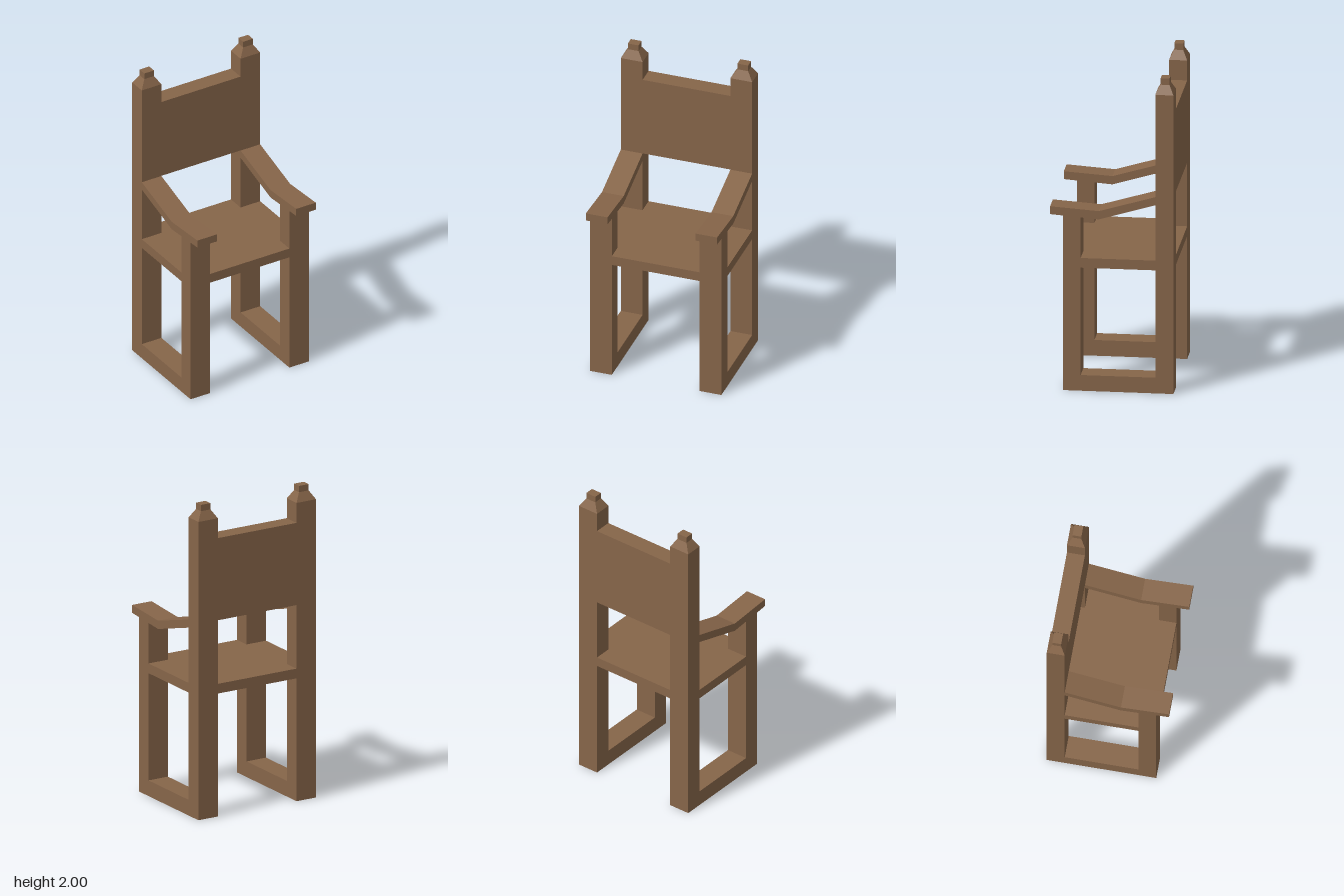
import * as THREE from 'three';

export function createModel() {
  const chair = new THREE.Group();
  chair.name = 'armchair';
  const wood = new THREE.MeshStandardMaterial({ color: 0x866549, flatShading: true });
  wood.name = 'brown wood';

  // Shared limits of the frame
  const inner = 0.283, outer = 0.423;
  const back = -0.378, postFront = -0.267, legBack = 0.19, legFront = 0.298;
  const width = outer - inner, depth = postFront - back;
  const midX = (inner + outer) / 2, midZ = (back + postFront) / 2;

  function add(name, geometry, parent) {
    const mesh = new THREE.Mesh(geometry, wood);
    mesh.name = name;
    parent.add(mesh);
    return mesh;
  }

  // Box given by its limits on each axis
  function box(name, x0, x1, y0, y1, z0, z1, parent) {
    const mesh = add(name, new THREE.BoxGeometry(x1 - x0, y1 - y0, z1 - z0), parent);
    mesh.position.set((x0 + x1) / 2, (y0 + y1) / 2, (z0 + z1) / 2);
  }

  // Bent armrest, profile drawn in z and y, extruded across x
  const armShape = new THREE.Shape([
    [0.377, 1.12], [0.377, 1.17], [0.08, 1.15],
    [postFront, 1.252], [postFront, 1.2], [0.08, 1.097],
  ].map(([z, y]) => new THREE.Vector2(z, y)));
  const armGeometry = new THREE.ExtrudeGeometry(armShape, { depth: width, bevelEnabled: false });
  armGeometry.rotateY(-Math.PI / 2);
  armGeometry.translate(width / 2, 0, 0);

  // Tapered post cap: a four-sided frustum fitted to the post
  const capGeometry = new THREE.CylinderGeometry(0.494 * Math.SQRT1_2, Math.SQRT1_2, 0.055, 4, 1, true);
  capGeometry.rotateY(Math.PI / 4);
  capGeometry.scale(width, 1, depth);

  // Left and right side frames
  for (const side of [1, -1]) {
    const frame = new THREE.Group();
    frame.name = side > 0 ? 'leftFrame' : 'rightFrame';
    frame.position.x = side * midX;
    chair.add(frame);
    const w = width / 2;

    box('backPost', -w, w, 0, 1.905, back, postFront, frame);
    add('postCap', capGeometry, frame).position.set(0, 1.9325, midZ);
    box('finial', -0.0346, 0.0346, 1.96, 2, midZ - 0.0275, midZ + 0.0275, frame);
    box('frontLeg', -w, w, 0, 1.125, legBack, legFront, frame);
    box('floorRunner', -w, w, 0, 0.1, postFront, legBack, frame);
    box('seatRail', -w, w, 0.785, 0.847, postFront, legBack, frame);
    add('armrest', armGeometry, frame);
  }

  // Seat and backrest between the frames
  box('seat', -inner, inner, 0.785, 0.847, back, legFront, chair);
  box('backrest', -inner, inner, 1.253, 1.778, back, postFront, chair);

  return chair;
}
